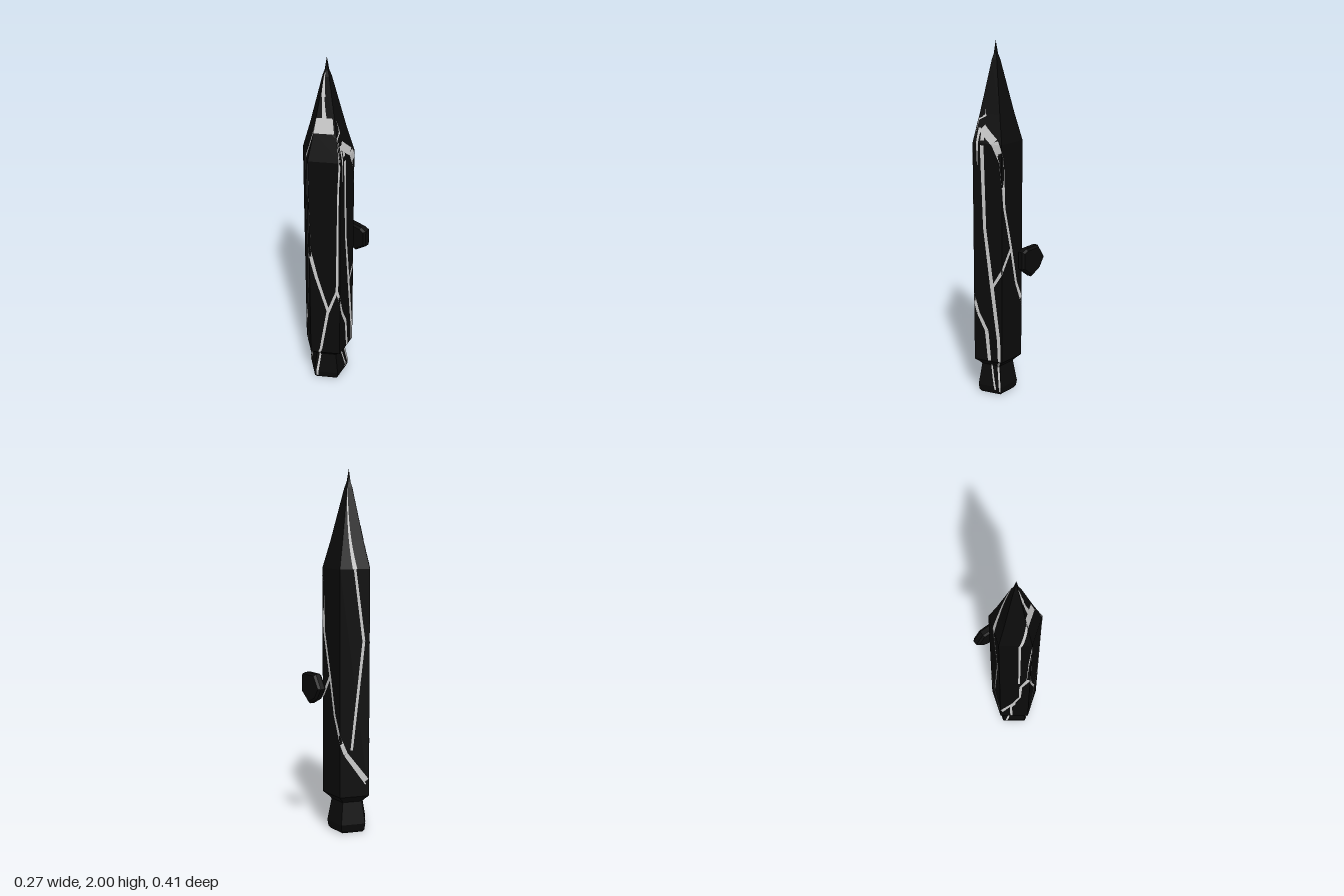
import * as THREE from 'three';

const CENTER_Z = 0.059;
// radius and height of the five-sided shaft, from foot to tip
const PROFILE = [[0, 0], [0.098, 0], [0.112, 0.015], [0.118, 0.05], [0.094, 0.175], [0.11, 0.19], [0.142, 0.215],
  [0.143, 1.47], [0.098, 1.62], [0.024, 1.9], [0.012, 1.93], [0, 2]];

const dark = new THREE.MeshStandardMaterial({ color: 0x0b0b0b, flatShading: true });
const grey = new THREE.MeshStandardMaterial({ color: 0xcccccc, flatShading: true, side: THREE.DoubleSide });

function radiusAt(y) {
  for (let i = 2; i < PROFILE.length; i++) {
    const [r0, y0] = PROFILE[i - 1], [r1, y1] = PROFILE[i];
    if (y <= y1) return r0 + (r1 - r0) * Math.max(0, (y - y0) / (y1 - y0));
  }
  return 0;
}

// point on the shaft: u counts corners round from the front one, towards +x
function onShaft(u, y) {
  const i = Math.floor(u), t = u - i, r = radiusAt(y) + 0.0015;
  const a = i * Math.PI * 0.4, b = (i + 1) * Math.PI * 0.4;
  return [r * (Math.sin(a) * (1 - t) + Math.sin(b) * t), y,
    CENTER_Z + r * (Math.cos(a) * (1 - t) + Math.cos(b) * t)];
}

// ribbon that follows the shaft through [u, y, width] points
function crack(path) {
  const pos = [], index = [], STEPS = 12;
  for (let k = 0; k < path.length - 1; k++) {
    const [u0, y0, w0] = path[k], [u1, y1, w1] = path[k + 1];
    const edge = 1.176 * Math.max(0.02, radiusAt((y0 + y1) / 2));
    const du = (u1 - u0) * edge, dy = y1 - y0, len = Math.hypot(du, dy);
    for (let s = 0; s <= STEPS; s++) {
      const t = s / STEPS, w = (w0 + (w1 - w0) * t) / 2;
      const u = u0 + (u1 - u0) * t, y = y0 + dy * t;
      const ou = -dy / len * w / edge, oy = du / len * w;
      pos.push(...onShaft(u + ou, y + oy), ...onShaft(u - ou, y - oy));
      const n = pos.length / 3;
      if (s > 0) index.push(n - 4, n - 3, n - 2, n - 3, n - 1, n - 2);
    }
  }
  const g = new THREE.BufferGeometry();
  g.setAttribute('position', new THREE.Float32BufferAttribute(pos, 3));
  g.setIndex(index);
  g.computeVertexNormals();
  return g;
}

const CRACKS = {
  frontWedge: [[0, 1.46, 0.003], [-0.03, 1.2, 0.018], [-0.03, 0.9, 0.032]],
  frontLeftBranch: [[-0.05, 0.92, 0.025], [-0.3, 0.79, 0.016], [-0.32, 0.6, 0.012], [-0.55, 0.47, 0.016], [-1, 0.3, 0.028]],
  frontRightBranch: [[0, 0.92, 0.02], [0.22, 0.75, 0.018], [0.6, 0.52, 0.016], [0.35, 0.24, 0.014],
    [0.2, 0.18, 0.012], [0.12, 0.02, 0.012]],
  frontLeftSeam: [[0.05, 1.67, 0.014], [-0.37, 1.45, 0.012], [-0.36, 0.85, 0.01]],
  lowerLeftSeam: [[-0.5, 0.48, 0.02], [-0.62, 0.4, 0.014], [-0.6, 0.2, 0.012], [-0.75, 0.13, 0.012], [-0.85, 0.03, 0.012]],
  chippedBand: [[0, 1.655, 0.08], [0.9, 1.655, 0.08], [1.2, 1.6, 0.04]],
  tipSeam: [[0.45, 1.69, 0.02], [0.3, 1.8, 0.014], [0.15, 1.92, 0.008]],
  rightCornerSeam: [[1.02, 1.6, 0.014], [0.93, 1.3, 0.008], [0.9, 0.66, 0.014], [0.58, 0.5, 0.016]],
  rightFork: [[0.9, 0.66, 0.014], [1.15, 0.5, 0.018], [1.45, 0.4, 0.022], [1.55, 0.22, 0.02]],
  rightWedge: [[1.15, 1.55, 0.016], [1.16, 1.35, 0.004]],
  shoulderBand: [[1.25, 1.55, 0.045], [1.75, 1.48, 0.045], [2, 1.38, 0.035], [2.12, 1.12, 0.016], [2.45, 0.88, 0.016],
    [2.7, 0.67, 0.016], [3.2, 0.46, 0.024], [3.95, 0.29, 0.034]],
  rightSideSeam: [[1.3, 1.54, 0.022], [1.4, 1, 0.018], [1.65, 0.66, 0.022], [1.88, 0.35, 0.02], [1.9, 0.2, 0.014], [1.95, 0.02, 0.01]],
  rightSideBranch: [[1.65, 0.66, 0.014], [1.97, 0.75, 0.018], [2.45, 0.88, 0.018]],
  footSeam: [[1.55, 0.18, 0.01], [1.75, 0.03, 0.01]],
  backLeftSeam: [[3.1, 1.9, 0.008], [3.5, 1.47, 0.014], [3.8, 1.08, 0.016], [3.4, 0.48, 0.014]],
};

export function createModel() {
  const group = new THREE.Group();
  const add = (name, geometry, material) => {
    const mesh = new THREE.Mesh(geometry, material);
    mesh.name = name;
    group.add(mesh);
    return mesh;
  };

  // pentagonal shaft with pinched foot and spiked tip
  const shaft = add('shaft', new THREE.LatheGeometry(PROFILE.map(([r, y]) => new THREE.Vector2(r, y)), 5), dark);
  shaft.position.z = CENTER_Z;

  // pale cracks between the pieces
  for (const [name, path] of Object.entries(CRACKS)) add(name, crack(path), grey);

  // loose chunk floating behind
  const outline = [[0.065, 0.895], [0.065, 0.81], [0, 0.76], [-0.06, 0.79], [-0.092, 0.84], [-0.05, 0.905], [0.04, 0.905]];
  const chunk = new THREE.ExtrudeGeometry(new THREE.Shape(outline.map(([x, y]) => new THREE.Vector2(x, y))),
    { depth: 0.026, bevelEnabled: true, bevelSegments: 1, bevelSize: 0.01, bevelThickness: 0.012 });
  add('floatingChunk', chunk, dark).position.z = -0.193;

  return group;
}
